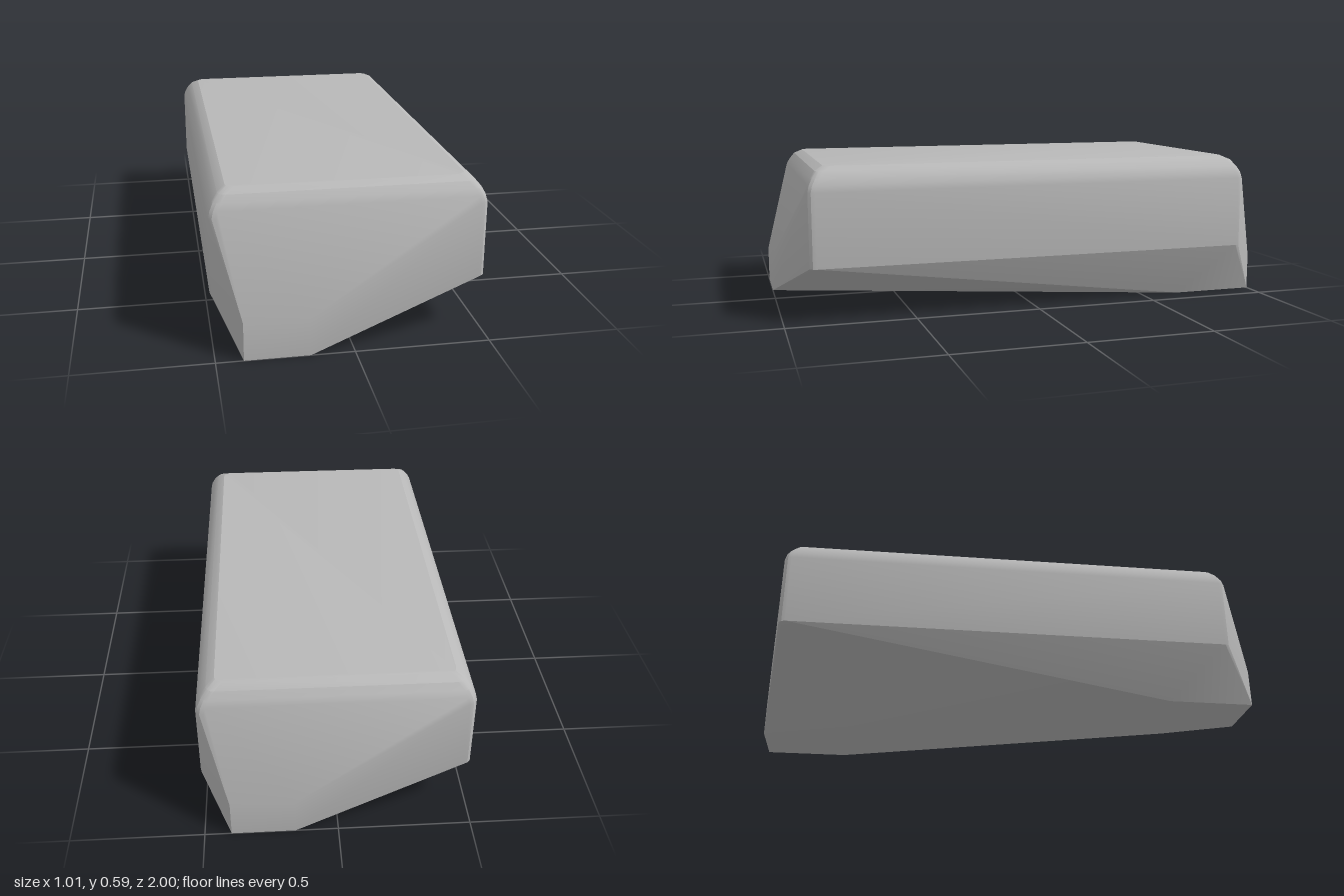
import * as THREE from 'three';
import { ConvexGeometry } from 'three/addons/geometries/ConvexGeometry.js';
import { toCreasedNormals } from 'three/addons/utils/BufferGeometryUtils.js';

// Rounded-rectangle ring of points at height y.
function ring(halfX, halfZ, y, radius, steps = 3) {
  const points = [];
  for (const sx of [-1, 1]) {
    for (const sz of [-1, 1]) {
      for (let i = 0; i <= steps; i++) {
        const a = (i / steps) * Math.PI / 2;
        points.push(new THREE.Vector3(
          sx * (halfX - radius + radius * Math.cos(a)), y,
          sz * (halfZ - radius + radius * Math.sin(a))));
      }
    }
  }
  return points;
}

export function createModel() {
  const grey = new THREE.MeshStandardMaterial({ color: 0xb8b8b8 });
  grey.name = 'stone grey';

  // Upright walls, then a rounded shoulder: [half width, half depth, height].
  const levels = [
    [0.505, 0.905, 0.215],
    [0.505, 0.905, 0.5],
    [0.499, 0.899, 0.525],
    [0.486, 0.886, 0.55],
    [0.465, 0.868, 0.575],
    [0.435, 0.835, 0.592],
  ];
  const points = levels.flatMap(([x, z, y]) => ring(x, z, y, 0.03));

  // Skewed foot, the same at both ends after a half turn.
  const foot = [[-0.4, 0, 1], [-0.4, 0.145, 1], [-0.16, 0, 1], [-0.16, 0.145, 1], [-0.4, 0, 0.66]];
  for (const [x, y, z] of foot) {
    points.push(new THREE.Vector3(x, y, z), new THREE.Vector3(-x, y, -z));
  }

  // Wrap everything in one faceted shell with a soft rim.
  const block = new THREE.Mesh(toCreasedNormals(new ConvexGeometry(points), 0.42), grey);
  block.name = 'block';

  const group = new THREE.Group();
  group.name = 'roundedBlock';
  group.add(block);
  return group;
}
